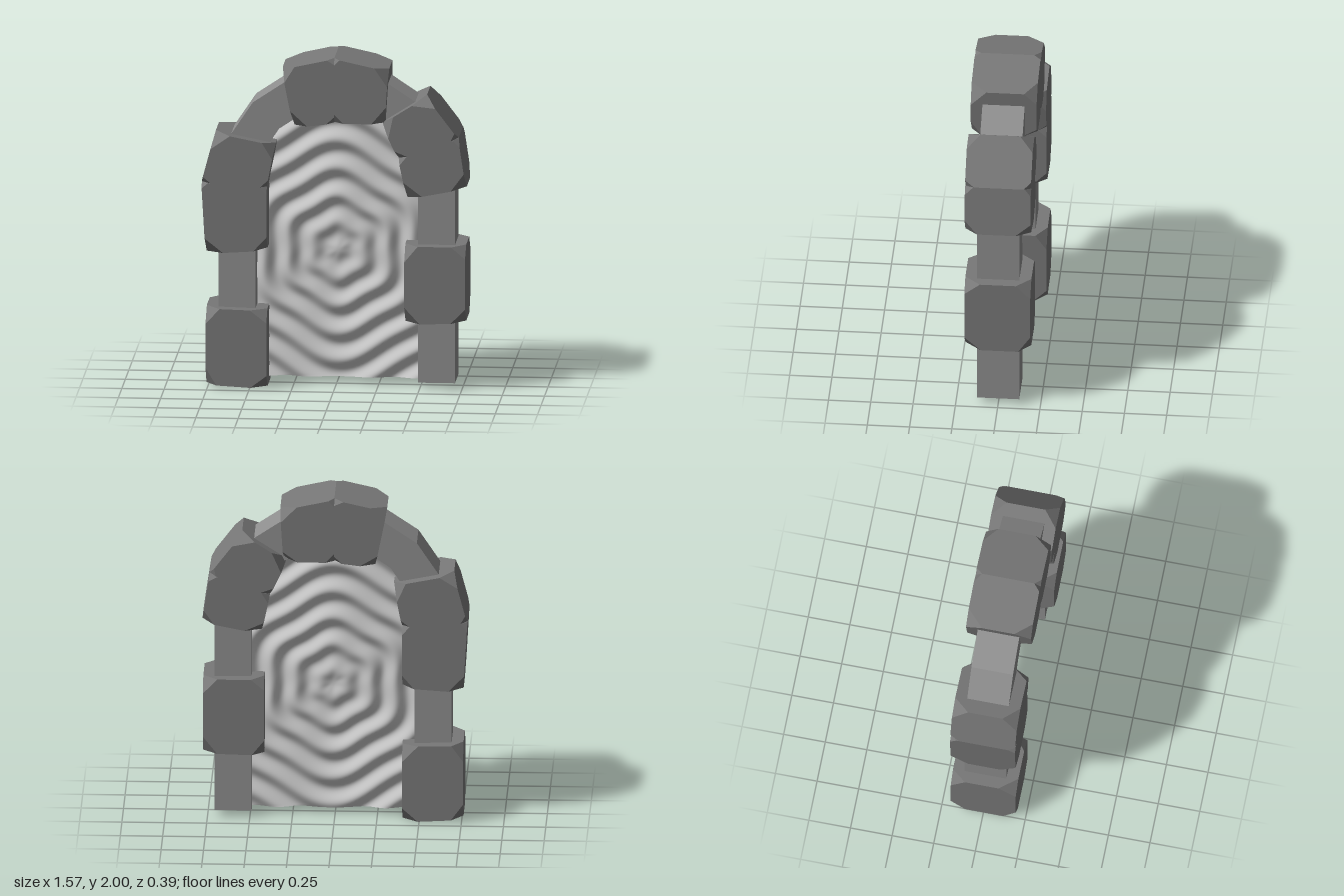
import * as THREE from 'three';
import { ConvexGeometry } from 'three/addons/geometries/ConvexGeometry.js';

const CX = 0.01, SPRING = 1.22, BASE = 0.04, R_OUT = 0.70, R_IN = 0.48;

let seed = 7;
const rand = () => (seed = (seed * 16807) % 2147483647) / 2147483647;

// A four-sided block of stone with its eight corners cut off.
// quad: corners in x, y; cuts: size of the cut at each of them.
function blockGeometry(quad, cuts, depth = 0.195) {
  const points = [];
  quad.forEach(([x, y], i) => {
    for (const s of [1, -1]) {
      const corner = new THREE.Vector3(x, y, s * depth);
      const ends = [
        new THREE.Vector3(...quad[(i + 1) % 4], s * depth),
        new THREE.Vector3(...quad[(i + 3) % 4], s * depth),
        new THREE.Vector3(x, y, -s * depth),
      ];
      for (const end of ends) {
        const dir = end.sub(corner).normalize();
        points.push(corner.clone().addScaledVector(dir, cuts[i] * (0.75 + 0.5 * rand())));
      }
    }
  });
  return new ConvexGeometry(points);
}

// A stone is a row of cross lines; each pair of neighbouring lines spans one block.
function makeStone(name, lines, material) {
  const stone = new THREE.Group();
  stone.name = name;
  const last = lines.length - 1;
  for (let i = 0; i < last; i++) {
    const [a, b] = lines[i], [c, d] = lines[i + 1];
    const low = i === 0 ? 0.085 : 0.045;
    const high = i + 1 === last ? 0.085 : 0.045;
    const block = new THREE.Mesh(blockGeometry([a, b, d, c], [low, low, high, high]), material);
    block.name = name + 'Block';
    stone.add(block);
  }
  return stone;
}

// Inner frame: two legs joined by a round arch of eight segments
function archGeometry() {
  const shape = new THREE.Shape();
  const arc = (r, i) => [CX + r * Math.cos(i * Math.PI / 8), SPRING + r * Math.sin(i * Math.PI / 8)];
  shape.moveTo(CX + R_OUT, BASE);
  for (let i = 0; i <= 8; i++) shape.lineTo(...arc(R_OUT, i));
  shape.lineTo(CX - R_OUT, BASE);
  shape.lineTo(CX - R_IN, BASE);
  for (let i = 8; i >= 0; i--) shape.lineTo(...arc(R_IN, i));
  shape.lineTo(CX + R_IN, BASE);
  const geometry = new THREE.ExtrudeGeometry(shape, { depth: 0.25, bevelEnabled: false });
  return geometry.translate(0, 0, -0.125);
}

// Ripples spreading from the middle in slightly six-cornered rings
function ripple(x, y) {
  const dx = x - 0.01, dy = y - 0.81;
  const angle = Math.atan2(dy, dx);
  const r = Math.hypot(dx, dy) * (1 + 0.05 * Math.cos(6 * angle) + 0.02 * Math.sin(2 * angle + 1));
  return 0.017 * Math.cos(r * 2 * Math.PI / 0.155) * Math.min(1, 0.4 + r * 2);
}

// Thin sheet filling the arch opening
function sheetGeometry() {
  const geometry = new THREE.BoxGeometry(1, 1, 1, 80, 150, 1);
  const pos = geometry.attributes.position;
  const height = SPRING + R_IN - 0.01 - BASE;
  for (let i = 0; i < pos.count; i++) {
    const y = BASE + (pos.getY(i) + 0.5) * height;
    const rise = Math.max(0, y - SPRING);
    const x = CX + pos.getX(i) * 2 * Math.sqrt(R_IN * R_IN - rise * rise);
    pos.setXYZ(i, x, y, -0.02 + pos.getZ(i) * 0.04 + ripple(x, y));
  }
  geometry.computeVertexNormals();
  return geometry;
}

export function createModel() {
  const group = new THREE.Group();
  group.name = 'stoneGateway';
  const stoneMaterial = new THREE.MeshStandardMaterial({ color: 0x787878, flatShading: true });
  const archMaterial = new THREE.MeshStandardMaterial({ color: 0x8e8e8e, flatShading: true });
  const sheetMaterial = new THREE.MeshStandardMaterial({ color: 0xcccccc });

  const arch = new THREE.Mesh(archGeometry(), archMaterial);
  arch.name = 'innerArch';
  const sheet = new THREE.Mesh(sheetGeometry(), sheetMaterial);
  sheet.name = 'rippledSheet';
  group.add(arch, sheet);

  // Large stones set around the arch
  const stones = {
    rightBaseStone: [[[-0.76, 0.02], [-0.40, 0.0]], [[-0.76, 0.48], [-0.40, 0.47]]],
    rightShoulderStone: [
      [[-0.76, 0.81], [-0.40, 0.835]],
      [[-0.785, 1.24], [-0.40, 1.215]],
      [[-0.705, 1.54], [-0.35, 1.47]],
    ],
    keystone: [
      [[-0.24, 1.58], [-0.31, 1.93]],
      [[0.0, 1.61], [0.0, 2.0]],
      [[0.30, 1.61], [0.32, 1.93]],
    ],
    leftShoulderStone: [
      [[0.43, 1.16], [0.78, 1.23]],
      [[0.38, 1.40], [0.735, 1.53]],
      [[0.28, 1.61], [0.545, 1.78]],
    ],
    leftMiddleStone: [[[0.415, 0.405], [0.775, 0.415]], [[0.415, 0.875], [0.775, 0.875]]],
  };
  for (const [name, lines] of Object.entries(stones)) group.add(makeStone(name, lines, stoneMaterial));

  return group;
}
